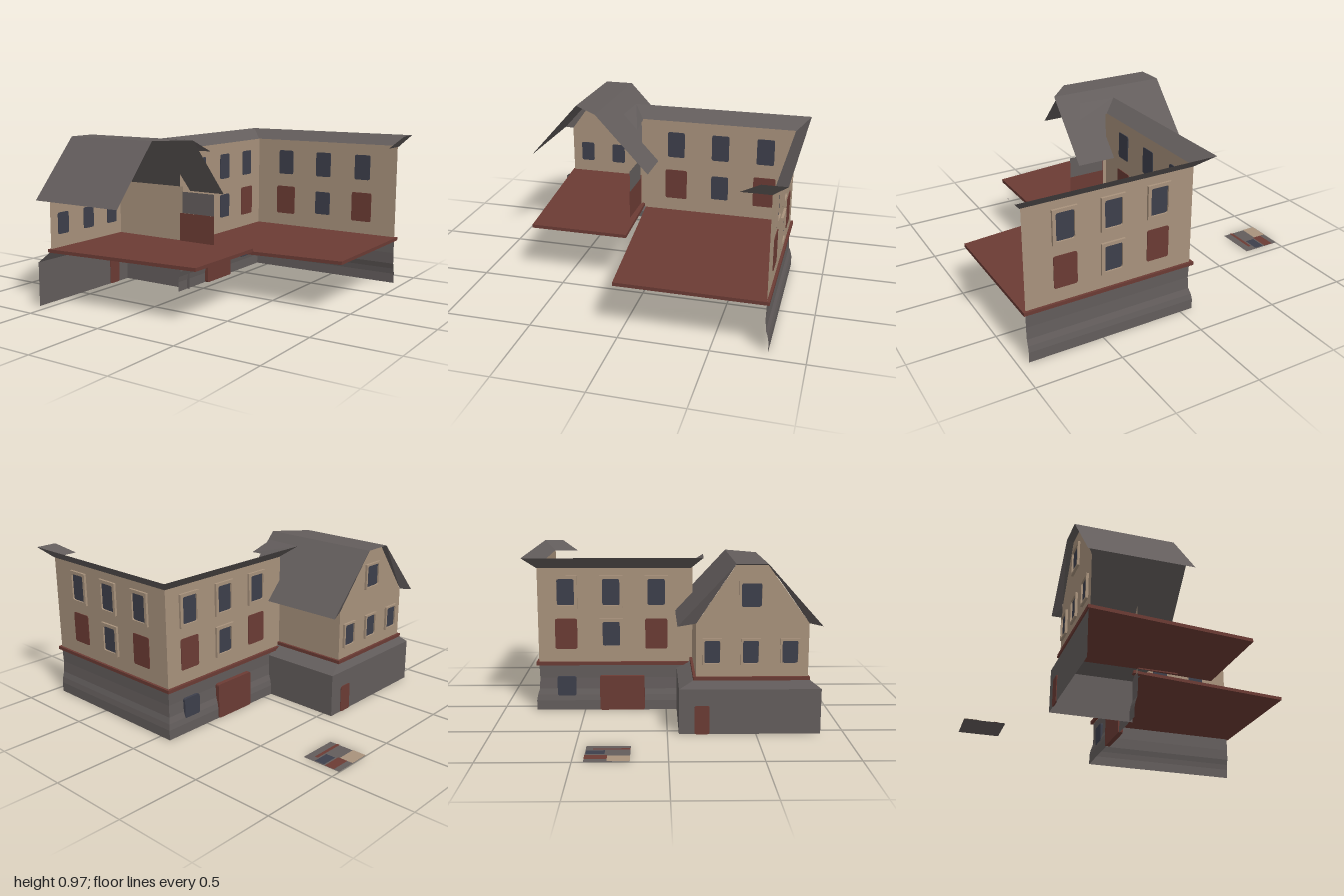
import * as THREE from 'three';

const mat = (name, color) => {
  const m = new THREE.MeshStandardMaterial({ color, side: THREE.DoubleSide });
  m.name = name;
  return m;
};

export function createModel() {
  const root = new THREE.Group();
  root.name = 'house';
  const plaster = mat('plaster', 0xa8927c);
  const slate = mat('slate', 0x635d5c);
  const red = mat('redWood', 0x6b3b34);
  const glass = mat('windowGlass', 0x3d3f4b);

  const add = (name, geo, material, parent = root) => {
    const m = new THREE.Mesh(geo, material);
    m.name = name;
    parent.add(m);
    return m;
  };

  // Flat faces from convex polygons, each a list of [x, y, z]
  const faces = (polys) => {
    const pos = [];
    for (const p of polys)
      for (let i = 1; i < p.length - 1; i++) pos.push(...p[0], ...p[i], ...p[i + 1]);
    const g = new THREE.BufferGeometry();
    g.setAttribute('position', new THREE.Float32BufferAttribute(pos, 3));
    g.computeVertexNormals();
    return g;
  };
  // Band of quads between two polylines
  const band = (a, b) => a.slice(1).map((p, i) => [a[i], p, b[i + 1], b[i]]);
  const at = (pts, y) => pts.map(([x, z]) => [x, y, z]);

  const roundRect = (w, h, r, Type = THREE.Shape) => {
    const s = new Type(), x = w / 2, y = h / 2;
    s.moveTo(-x + r, -y);
    s.lineTo(x - r, -y); s.quadraticCurveTo(x, -y, x, -y + r);
    s.lineTo(x, y - r); s.quadraticCurveTo(x, y, x - r, y);
    s.lineTo(-x + r, y); s.quadraticCurveTo(-x, y, -x, y - r);
    s.lineTo(-x, -y + r); s.quadraticCurveTo(-x, -y, -x + r, -y);
    return s;
  };
  const extrude = (shape, depth, z0) =>
    new THREE.ExtrudeGeometry(shape, { depth, bevelEnabled: false, curveSegments: 3 }).translate(0, 0, z0);

  // Pane showing on both wall sides, with an optional frame on the outside
  const opening = (name, x, y, z, turn, w, h, material, frame = 0, depth = 0.008) => {
    const g = new THREE.Group();
    g.name = name;
    g.position.set(x, y, z);
    g.rotation.y = turn;
    add(name + 'Pane', extrude(roundRect(w, h, 0.012), depth, -depth / 2), material, g);
    if (frame) {
      const s = roundRect(w + frame, h + frame, 0.002);
      s.holes.push(roundRect(w, h, 0.012, THREE.Path));
      add(name + 'Frame', extrude(s, 0.014, 0), plaster, g);
    }
    root.add(g);
  };
  const WEST = -Math.PI / 2, BACK = Math.PI;

  // ---- Main wing: two walls meeting at the back corner
  const wallLine = [[-0.06, 0.16], [-0.06, -0.78], [0.94, -0.78]];
  add('mainWalls', faces(band(at(wallLine, 0.28), at(wallLine, 0.885))), plaster);

  // Base flaring out at the foot
  const baseLine = (o) => [[-0.06 - o, 0.16], [-0.06 - o, -0.78 - o], [0.94, -0.78 - o]];
  const levels = [[0, 0.29], [-0.003, 0.2], [0.001, 0.13], [0.012, 0.095], [0.018, 0.06], [0.018, 0]];
  const basePolys = [];
  for (let i = 1; i < levels.length; i++) {
    const [o0, y0] = levels[i - 1], [o1, y1] = levels[i];
    basePolys.push(...band(at(baseLine(o0), y0), at(baseLine(o1), y1)));
  }
  add('mainBase', faces(basePolys), slate);

  // Flared cornice with short returns at both ends
  const corniceIn = [[0.14, 0.13], [-0.06, 0.15], [-0.06, -0.78], [0.945, -0.78], [0.945, -0.62]];
  const corniceOut = [[0.08, 0.23], [-0.15, 0.22], [-0.15, -0.86], [1, -0.86], [1, -0.73]];
  add('cornice', faces(band(at(corniceIn, 0.88), at(corniceOut, 0.95))), slate);

  // Rows of windows; the outer lower ones are shuttered
  for (const i of [0, 1, 2]) {
    for (const back of [false, true]) {
      const x = back ? 0.155 + i * 0.277 : -0.06;
      const z = back ? -0.78 : -0.06 - i * 0.275;
      const turn = back ? BACK : WEST;
      opening('upperWindow', x, 0.735, z, turn, 0.105, 0.16, glass, 0.038);
      if (i === 1) opening('lowerWindow', x, 0.477, z, turn, 0.105, 0.15, glass, 0.038);
      else opening('shutter', x, 0.477, z, turn, 0.135, 0.187, red);
    }
  }
  opening('gate', -0.07, 0.108, -0.27, WEST, 0.275, 0.216, red, 0, 0.03);
  opening('baseWindow', -0.065, 0.15, -0.612, WEST, 0.115, 0.12, glass, 0, 0.018);

  // ---- Floors
  const floor = (name, pts, y) => {
    const s = new THREE.Shape(pts.map(([x, z]) => new THREE.Vector2(x, -z)));
    const g = new THREE.ExtrudeGeometry(s, { depth: 0.02, bevelEnabled: false });
    add(name, g.rotateX(-Math.PI / 2).translate(0, y, 0), red);
  };
  floor('mainFloor', [[-0.078, 0.14], [0.955, 0.035], [0.955, -0.795], [-0.078, -0.795]], 0.283);
  floor('sideFloor', [[-0.545, 0.8], [0.43, 0.705], [0.43, 0.12], [-0.06, 0.145], [-0.545, 0.145]], 0.308);

  // ---- Side wing: gable wall and rear wall
  add('gableWalls', faces([
    [[-0.53, 0.31, 0.79], [-0.53, 0.63, 0.79], [-0.53, 0.96, 0.55],
      [-0.53, 0.96, 0.38], [-0.53, 0.63, 0.16], [-0.53, 0.31, 0.16]],
    [[-0.53, 0.31, 0.16], [-0.04, 0.31, 0.16], [-0.04, 0.66, 0.16], [-0.53, 0.66, 0.16]],
  ]), plaster);
  add('endPanelUpper', faces([
    [[-0.04, 0.5, 0.165], [0.19, 0.5, 0.165], [0.19, 0.63, 0.165], [-0.04, 0.63, 0.165]],
  ]), slate);
  add('endPanelLower', faces([
    [[-0.058, 0.3, 0.168], [0.19, 0.3, 0.168], [0.19, 0.5, 0.168], [-0.058, 0.5, 0.168]],
  ]), red);
  for (const z of [0.685, 0.465, 0.25])
    opening('gableWindow', -0.53, 0.47, z, WEST, 0.088, 0.128, glass, 0.022);
  opening('atticWindow', -0.53, 0.79, 0.465, WEST, 0.112, 0.132, glass, 0.024);

  // Side base with a sloped shoulder
  const foot = [[-0.56, 0.865], [-0.56, 0.065], [-0.06, 0.065]];
  const shoulder = [[-0.53, 0.79], [-0.53, 0.16], [0.03, 0.16]];
  add('sideBase', faces([
    ...band(at(foot, 0), at(foot, 0.26)),
    ...band(at(foot, 0.26), at(shoulder, 0.315)),
  ]), slate);
  opening('sideDoor', -0.56, 0.082, 0.195, WEST, 0.085, 0.165, red);

  // Roof: two steep slopes, a flat top and gable soffits
  const e = -0.57;
  add('sideRoof', faces([
    [[e, 0.62, 0.86], [0.03, 0.62, 0.86], [0.03, 0.965, 0.55], [e, 0.965, 0.55]],
    [[e, 0.965, 0.55], [0.03, 0.965, 0.55], [0.185, 0.965, 0.375], [e, 0.965, 0.375]],
    [[e, 0.965, 0.375], [0.185, 0.965, 0.375], [0.185, 0.62, 0.055], [e, 0.62, 0.055]],
    [[e, 0.62, 0.86], [e, 0.965, 0.55], [-0.53, 0.63, 0.79]],
    [[e, 0.62, 0.055], [-0.53, 0.63, 0.16], [e, 0.965, 0.375]],
    [[e, 0.965, 0.55], [e, 0.965, 0.375], [-0.53, 0.955, 0.375], [-0.53, 0.955, 0.55]],
  ]), slate);

  // ---- Loose sample tile on the ground
  const patch = (name, x0, x1, z0, z1, y, material) =>
    add(name, faces([[[x0, y, z0], [x0, y, z1], [x1, y, z1], [x1, y, z0]]]), material);
  patch('tile', -1, -0.76, -0.44, -0.2, 0.002, slate);
  patch('tilePlaster', -1, -0.915, -0.32, -0.2, 0.005, plaster);
  patch('tileRed', -0.965, -0.905, -0.44, -0.32, 0.005, red);
  patch('tileGlass', -0.895, -0.835, -0.435, -0.335, 0.005, glass);
  patch('tileStripe', -0.825, -0.805, -0.4, -0.2, 0.005, red);
  return root;
}
